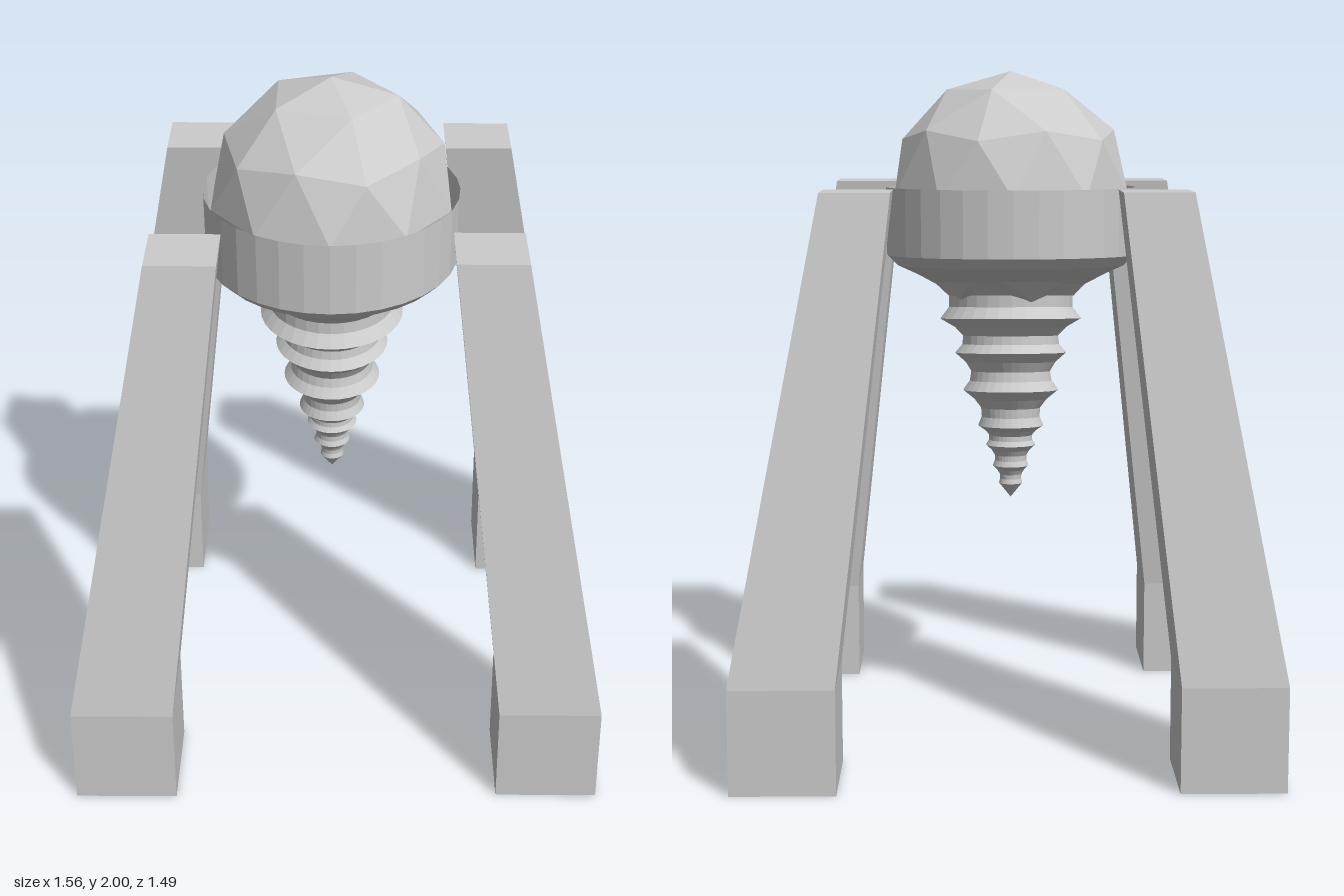
import * as THREE from 'three';

const material = new THREE.MeshStandardMaterial({ color: 0xcccccc, flatShading: true, side: THREE.DoubleSide });
const CX = -0.02, CZ = -0.023;

// Move every vertex of a geometry by a rule
function reshape(geometry, rule) {
  const p = geometry.attributes.position;
  const v = new THREE.Vector3();
  for (let i = 0; i < p.count; i++) {
    v.fromBufferAttribute(p, i);
    rule(v);
    p.setXYZ(i, v.x, v.y, v.z);
  }
  geometry.computeVertexNormals();
  return geometry;
}

function addMesh(parent, name, geometry) {
  const mesh = new THREE.Mesh(geometry, material);
  mesh.name = name;
  parent.add(mesh);
  return mesh;
}

// Square pillar: upright foot, then a shaft leaning inward and narrowing
function legGeometry(sx, sz, zShift) {
  const rows = [
    { y: 0, x: 0.63, z: 0.6, h: 0.15 },
    { y: 0.305, x: 0.63, z: 0.6, h: 0.15 },
    { y: 1.66, x: 0.425, z: 0.41, h: 0.1 },
  ];
  return reshape(new THREE.BoxGeometry(2, 2, 2, 1, 2, 1), (v) => {
    const r = rows[Math.round(v.y) + 1];
    v.set(sx * r.x + v.x * r.h, r.y, sz * r.z + zShift + v.z * r.h);
  });
}

// Lathe whose rings lean slightly towards the back
function tiltedLathe(points, segments, lean) {
  const profile = points.map(([r, y]) => new THREE.Vector2(r, y));
  return reshape(new THREE.LatheGeometry(profile, segments), (v) => {
    v.y -= lean(v.y) * v.z;
  });
}

export function createModel() {
  const model = new THREE.Group();

  // Four legs; the front pair stands slightly closer in
  addMesh(model, 'backLeftLeg', legGeometry(1, -1, 0));
  addMesh(model, 'backRightLeg', legGeometry(-1, -1, 0));
  addMesh(model, 'frontLeftLeg', legGeometry(1, 1, -0.023));
  addMesh(model, 'frontRightLeg', legGeometry(-1, 1, -0.007));

  const body = new THREE.Group();
  body.name = 'drillBody';
  body.position.set(CX, 0, CZ);
  model.add(body);

  // Faceted dome with one vertex pointing straight up
  const dome = new THREE.IcosahedronGeometry(0.365, 1);
  dome.rotateX(-Math.atan2((1 + Math.sqrt(5)) / 2, 1));
  dome.rotateY(Math.PI / 2);
  addMesh(body, 'dome', dome).position.y = 1.635;

  // Thin collar around the dome
  addMesh(body, 'collar', tiltedLathe(
    [[0.29, 1.395], [0.345, 1.42], [0.375, 1.45], [0.377, 1.655]], 32,
    (y) => (y > 1.6 ? 0.015 : 0.04)));

  // Screw: ridges with a hollow curve between each pair, ending in a point
  const ridges = [[0.29, 1.395], [0.215, 1.255], [0.17, 1.15], [0.146, 1.035],
    [0.1, 0.925], [0.076, 0.865], [0.055, 0.8], [0.036, 0.745]];
  const profile = [[0, 0.7]];
  for (let i = ridges.length - 1; i >= 0; i--) {
    const [r, y] = ridges[i];
    profile.push([r, y]);
    if (i === 0) break;
    const [r2, y2] = ridges[i - 1];
    for (const t of [0.25, 0.5, 0.75]) {
      const hollow = 0.22 * r2 * Math.sin(Math.PI * t);
      profile.push([r + (r2 - r) * t - hollow, y + (y2 - y) * t]);
    }
  }
  addMesh(body, 'screw', tiltedLathe(profile, 32,
    (y) => (y > 1.39 ? 0.04 : 0.1 * Math.min(1, (y - 0.7) / 0.4))));

  return model;
}
